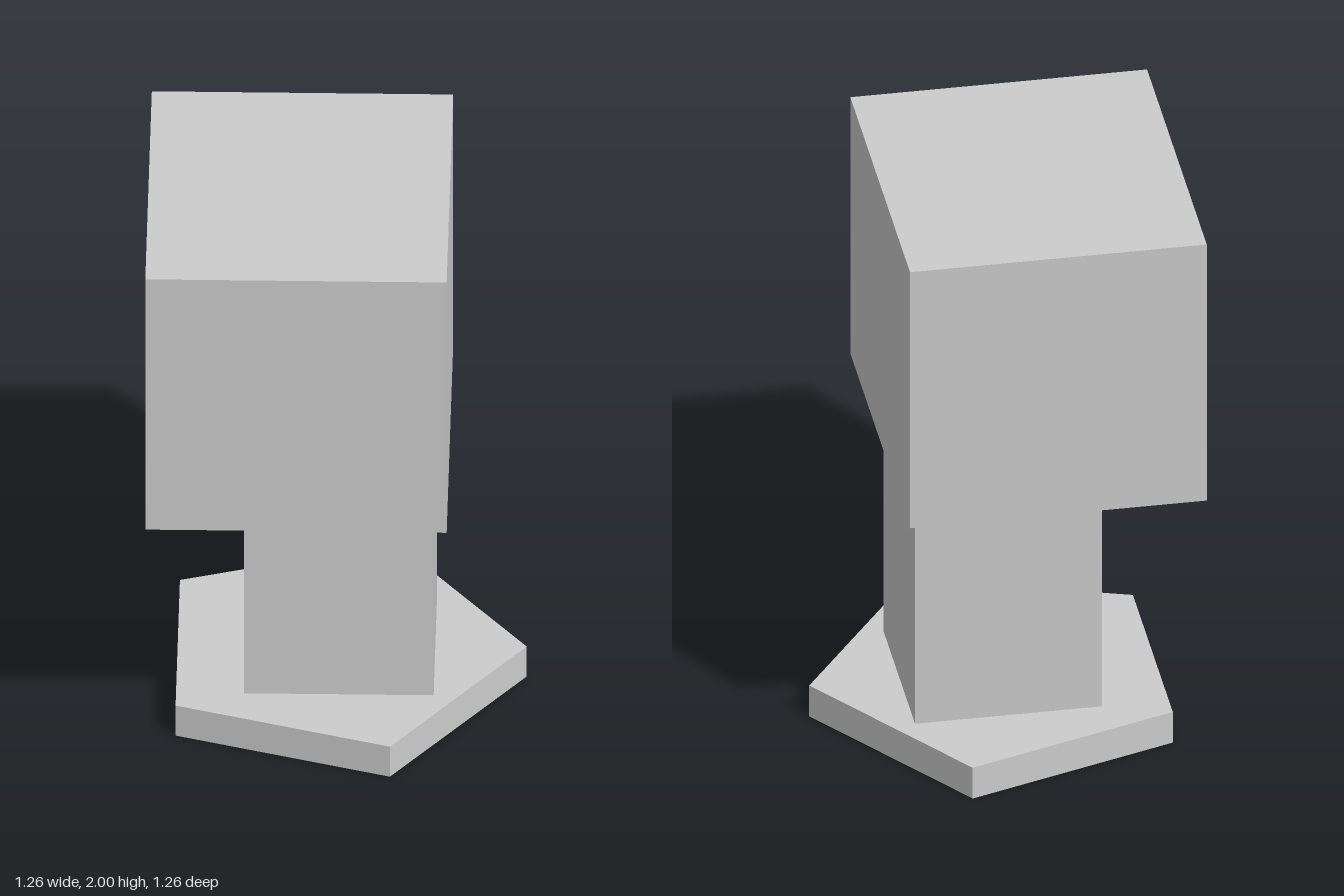
import * as THREE from 'three';

const material = new THREE.MeshStandardMaterial({ color: 0xcccccc, flatShading: true });

// Adds a box spanning the given ranges on each axis
function addBox(group, name, [x0, x1], [y0, y1], [z0, z1]) {
  const mesh = new THREE.Mesh(new THREE.BoxGeometry(x1 - x0, y1 - y0, z1 - z0), material);
  mesh.position.set((x0 + x1) / 2, (y0 + y1) / 2, (z0 + z1) / 2);
  mesh.name = name;
  group.add(mesh);
}

export function createModel() {
  const group = new THREE.Group();
  group.name = 'blockOnPedestal';

  // Five-sided base slab with one corner pointing to +x
  const radius = 0.642, height = 0.12;
  const base = new THREE.Mesh(
    new THREE.CylinderGeometry(radius, radius, height, 5, 1, false, Math.PI / 2), material);
  base.position.set(-0.015, height / 2, -0.018);
  base.name = 'base';
  group.add(base);

  // Square column and the large block on top
  addBox(group, 'column', [-0.308, 0.323], [height, 1], [-0.319, 0.281]);
  addBox(group, 'topBlock', [-0.63, 0.373], [1, 2], [-0.503, 0.627]);

  return group;
}
